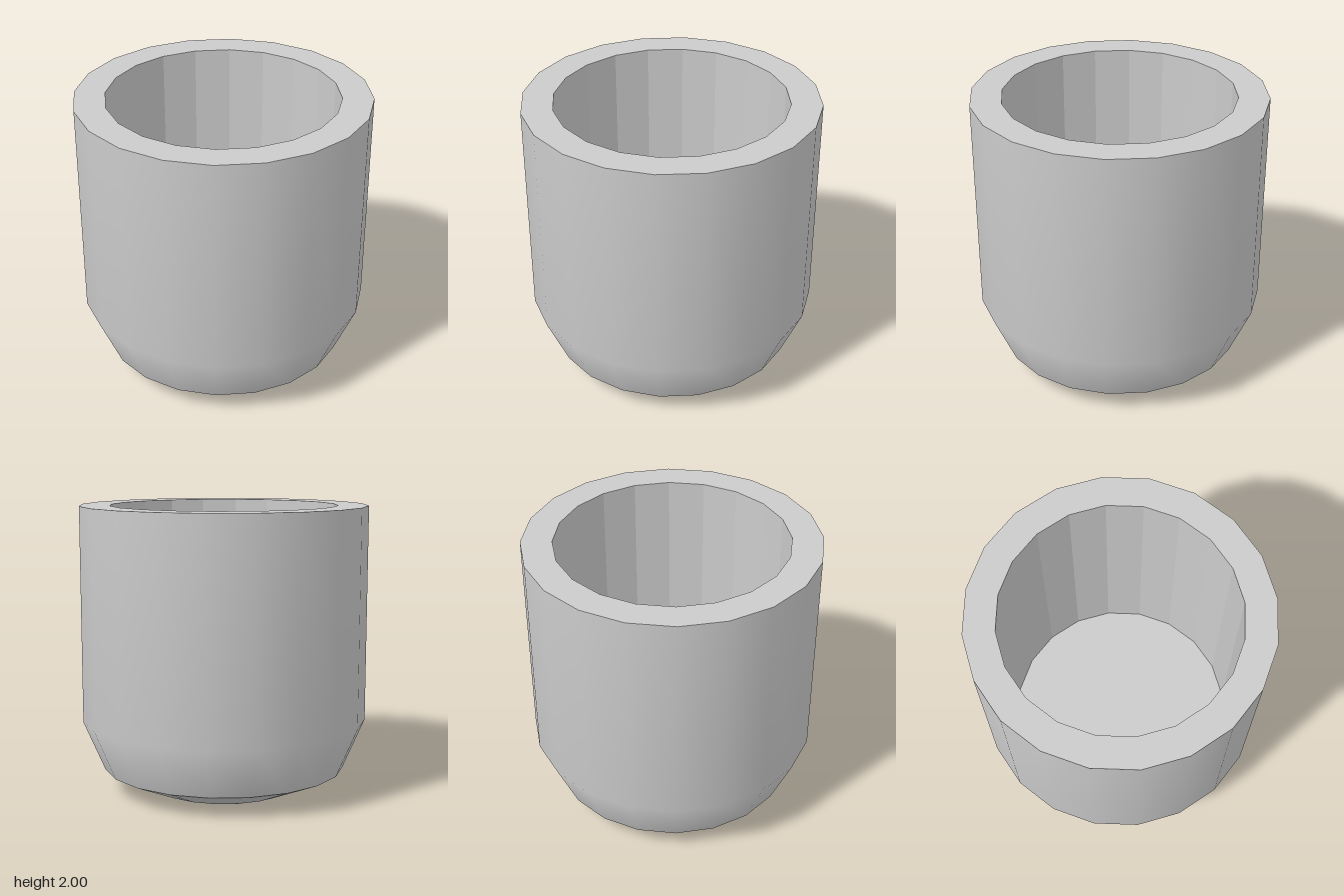
import * as THREE from 'three';

const SIDES = 20;
const OUTER = 1, INNER = 0.79, HEIGHT = 2, FLOOR = 0.2;

export function createModel() {
  const group = new THREE.Group();
  group.name = 'cup';
  const smooth = new THREE.MeshStandardMaterial({ color: 0xcccccc });
  const faceted = new THREE.MeshStandardMaterial({ color: 0xcccccc, flatShading: true });

  // revolve a profile of [radius, height] pairs; rising profiles face outward
  const turn = (name, profile, material) => {
    const points = profile.map(([r, y]) => new THREE.Vector2(r, y));
    const mesh = new THREE.Mesh(new THREE.LatheGeometry(points, SIDES), material);
    mesh.name = name;
    group.add(mesh);
  };

  // underside and bevel, with a hard edge where the wall starts
  turn('base', [[0, 0], [0.5, 0], [0.85, 0.15]], smooth);
  // outer wall with softly chamfered foot
  turn('outerWall', [[0.85, 0.15], [OUTER, 0.5], [OUTER, HEIGHT]], smooth);
  // flat top ring
  turn('rim', [[OUTER, HEIGHT], [INNER, HEIGHT]], faceted);
  // faceted hollow
  turn('innerWall', [[INNER, HEIGHT], [INNER, FLOOR]], faceted);
  turn('innerFloor', [[INNER, FLOOR], [0, FLOOR]], faceted);

  return group;
}
